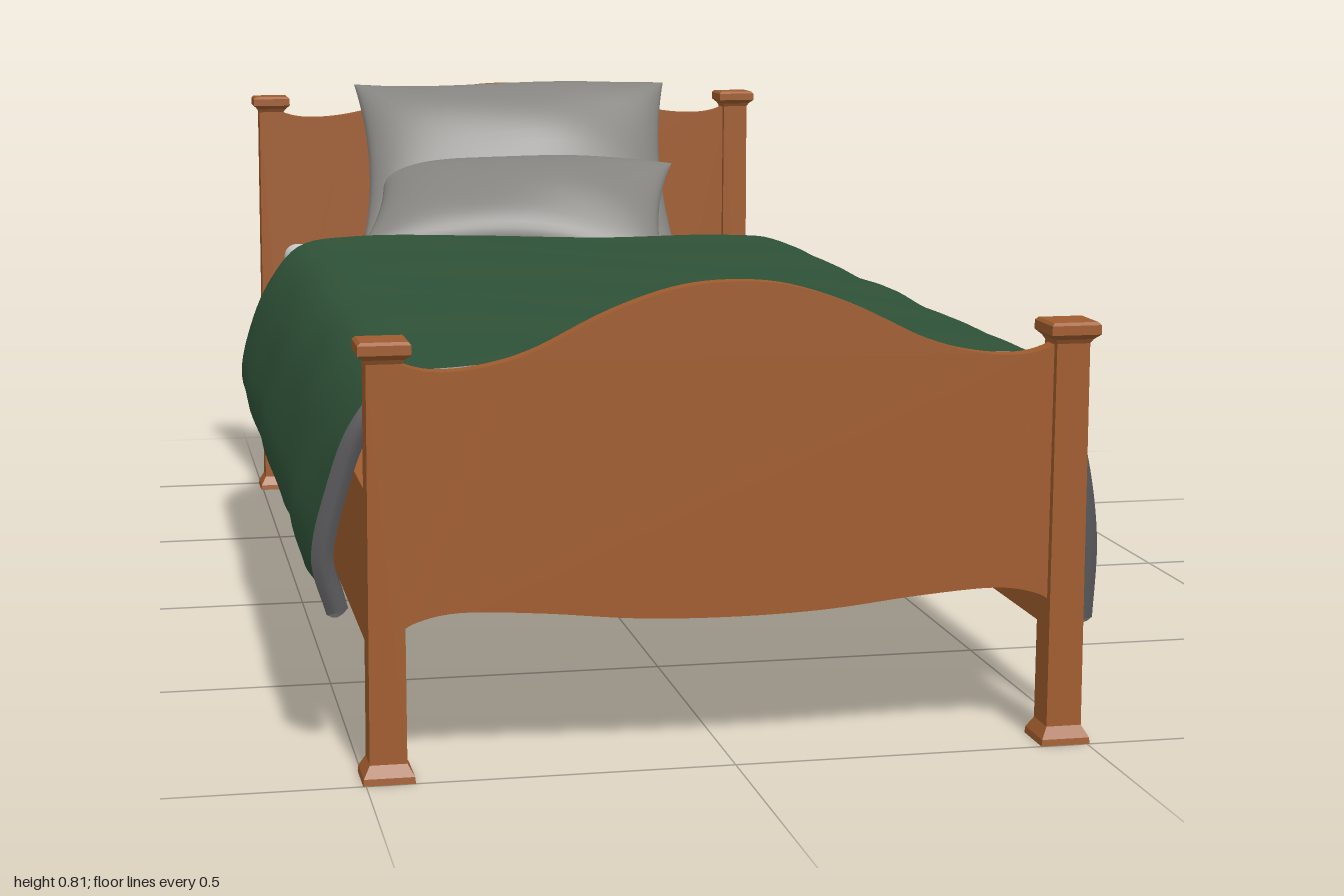
import * as THREE from 'three';
import { toCreasedNormals } from 'three/addons/utils/BufferGeometryUtils.js';
import { RoundedBoxGeometry } from 'three/addons/geometries/RoundedBoxGeometry.js';

function material(name, color, side = THREE.FrontSide) {
  const m = new THREE.MeshStandardMaterial({ color, side });
  m.name = name;
  return m;
}

// Smooth grid surface from fn(u, v) -> [x, y, z], with u and v in 0..1
function surface(fn, nu, nv) {
  const pos = [], idx = [];
  for (let j = 0; j <= nv; j++)
    for (let i = 0; i <= nu; i++) pos.push(...fn(i / nu, j / nv));
  for (let j = 0; j < nv; j++)
    for (let i = 0; i < nu; i++) {
      const a = j * (nu + 1) + i, b = a + 1, c = a + nu + 1, d = c + 1;
      idx.push(a, b, d, a, d, c);
    }
  const g = new THREE.BufferGeometry();
  g.setAttribute('position', new THREE.Float32BufferAttribute(pos, 3));
  g.setIndex(idx);
  g.computeVertexNormals();
  return g;
}

export function createModel() {
  const bed = new THREE.Group();
  bed.name = 'bed';
  const wood = material('wood', 0xa05c2e);
  const slatWood = material('slatWood', 0xb58d5c);
  const sheet = material('mattressWhite', 0xcfcfcf);
  const pillowGrey = material('pillowGrey', 0x84827e, THREE.DoubleSide);
  const green = material('blanketGreen', 0x2f5238, THREE.DoubleSide);
  const lining = material('blanketLining', 0x58585a, THREE.DoubleSide);

  const add = (name, geo, mat, x = 0, y = 0, z = 0, parent = bed) => {
    const m = new THREE.Mesh(geo, mat);
    m.name = name;
    m.position.set(x, y, z);
    parent.add(m);
    return m;
  };

  // Square posts with flared foot and cap
  function post(h) {
    const profile = [
      [0, 0], [0.035, 0], [0.034, 0.009], [0.025, 0.025], [0.0235, h - 0.03],
      [0.027, h - 0.024], [0.035, h - 0.017], [0.035, h - 0.004], [0.031, h], [0, h]
    ].map(([r, y]) => new THREE.Vector2(r * Math.SQRT2, y));
    const g = new THREE.LatheGeometry(profile, 4, Math.PI / 4).toNonIndexed();
    g.computeVertexNormals();
    return g;
  }

  // Curved end boards, from half profiles mirrored across x = 0
  function board(top) {
    const bottom = [[0, 0.2], [0.13, 0.204], [0.26, 0.217], [0.37, 0.223], [0.43, 0.212], [0.455, 0.195]];
    const v = ([x, y], s) => new THREE.Vector2(x * s, y);
    const under = [...bottom.slice(1).reverse().map(p => v(p, -1)), ...bottom.map(p => v(p, 1))];
    const over = [...top.slice(1).reverse().map(p => v(p, 1)), ...top.map(p => v(p, -1))];
    const shape = new THREE.Shape();
    shape.moveTo(under[0].x, under[0].y);
    shape.splineThru(under.slice(1));
    shape.lineTo(over[0].x, over[0].y);
    shape.splineThru(over.slice(1));
    const g = new THREE.ExtrudeGeometry(shape, { depth: 0.026, bevelEnabled: false, curveSegments: 5 });
    return toCreasedNormals(g, 0.6);
  }
  const ends = [
    { name: 'foot', z: 0.965, h: 0.59,
      top: [[0, 0.655], [0.08, 0.647], [0.17, 0.617], [0.27, 0.569], [0.34, 0.55], [0.4, 0.546], [0.44, 0.555], [0.458, 0.568]] },
    { name: 'head', z: -0.965, h: 0.785,
      top: [[0, 0.806], [0.08, 0.801], [0.17, 0.785], [0.27, 0.758], [0.34, 0.745], [0.4, 0.743], [0.44, 0.751], [0.458, 0.764]] }
  ];
  for (const e of ends) {
    for (const s of [-1, 1]) add(e.name + 'Post', post(e.h), wood, s * 0.469, 0, e.z);
    add(e.name + 'Board', board(e.top), wood, 0, 0, e.z - 0.013);
  }

  // Side rails, slat bearers and slats
  for (const s of [-1, 1]) {
    add('sideRail', new THREE.BoxGeometry(0.03, 0.212, 1.9), wood, s * 0.469, 0.264, 0);
    add('slatBearer', new THREE.BoxGeometry(0.022, 0.02, 1.86), slatWood, s * 0.33, 0.303, 0);
  }
  for (let i = 0; i < 14; i++)
    add('slat', new THREE.BoxGeometry(0.88, 0.018, 0.055), slatWood, 0, 0.322, -0.87 + i * 1.74 / 13);

  add('mattress', new RoundedBoxGeometry(0.9, 0.164, 1.896, 4, 0.025), sheet, 0, 0.413, -0.003);

  // Blanket: swept between a foot-end and a head-end cross-section
  const curve = pts => new THREE.CatmullRomCurve3(pts.map(p => new THREE.Vector3(...p)));
  const footEdge = curve([
    [-0.54, 0.21, 0.905], [-0.562, 0.29, 0.91], [-0.54, 0.39, 0.915], [-0.503, 0.475, 0.92], [-0.45, 0.53, 0.92],
    [-0.35, 0.543, 0.918], [-0.12, 0.545, 0.918], [0.12, 0.545, 0.916], [0.35, 0.543, 0.912], [0.45, 0.53, 0.908],
    [0.5, 0.475, 0.908], [0.525, 0.39, 0.915], [0.54, 0.28, 0.912], [0.538, 0.155, 0.905]]);
  const headEdge = curve([
    [-0.53, 0.215, -0.53], [-0.56, 0.29, -0.545], [-0.54, 0.39, -0.555], [-0.503, 0.475, -0.56], [-0.45, 0.53, -0.575],
    [-0.35, 0.545, -0.578], [-0.12, 0.547, -0.56], [0.12, 0.545, -0.505], [0.35, 0.543, -0.51], [0.45, 0.53, -0.52],
    [0.5, 0.475, -0.53], [0.53, 0.39, -0.545], [0.55, 0.28, -0.565], [0.562, 0.13, -0.59]]);
  const blend = (u, v) => {
    const a = footEdge.getPoint(u), b = headEdge.getPoint(u);
    const flare = v * v * v * v;
    return [a.x + (b.x - a.x) * flare, a.y + (b.y - a.y) * flare, a.z + (b.z - a.z) * v];
  };
  const cloth = (u, v, depth) => {
    const p = blend(u, v);
    const q = blend(Math.max(0, u - 0.004), v), r = blend(Math.min(1, u + 0.004), v);
    const tx = r[0] - q[0], ty = r[1] - q[1], l = Math.hypot(tx, ty);
    const ripple = 0.003 * Math.sin(v * 23 + u * 9) * Math.sin(u * 17 + v * 5);
    const d = depth + ripple;
    const hem = Math.abs(2 * u - 1) ** 12 * 0.006 * Math.sin(v * 19);
    return [p[0] + ty / l * d, p[1] - tx / l * d + hem, p[2]];
  };
  const thick = 0.03;
  const blanket = new THREE.Group();
  blanket.name = 'blanket';
  bed.add(blanket);
  add('blanketTop', surface((u, v) => cloth(u, v, 0), 72, 48), green, 0, 0, 0, blanket);
  add('blanketUnderside', surface((u, v) => cloth(u, v, thick), 72, 48), lining, 0, 0, 0, blanket);
  // Slightly bulged rim closing the four edges
  for (const e of [0, 1]) {
    const out = e ? -1 : 1;
    add('blanketEndRim', surface((s, w) => {
      const p = cloth(s, e, w * thick);
      p[2] += out * 0.008 * Math.sin(Math.PI * w);
      return p;
    }, 72, 4), lining, 0, 0, 0, blanket);
    add('blanketHemRim', surface((s, w) => {
      const p = cloth(e, s, w * thick);
      p[1] -= 0.008 * Math.sin(Math.PI * w);
      return p;
    }, 48, 4), lining, 0, 0, 0, blanket);
  }

  // Pillows: two bulged faces meeting at a pinched seam
  function pillow(name, w, h, t, pos, rot) {
    const g = new THREE.Group();
    g.name = name;
    for (const s of [-1, 1])
      add(name + (s > 0 ? 'Front' : 'Back'), surface((a, b) => {
        const u = Math.sin((a - 0.5) * Math.PI), v = Math.sin((b - 0.5) * Math.PI);
        const bulge = Math.pow(Math.max(0, (1 - u * u) * (1 - v * v)), 0.45);
        const crease = 1 + 0.07 * Math.sin(4 * u + 2 * v) * Math.cos(3 * v - u);
        return [
          w * u * (1 - 0.07 * (1 - v * v)),
          h * v * (1 - 0.1 * (1 - u * u)) + 0.008 * Math.sin(3 * u + 1),
          s * t * bulge * crease + 0.012 * u * v
        ];
      }, 32, 24), pillowGrey, 0, 0, 0, g);
    g.position.set(...pos);
    g.rotation.set(...rot, 'YXZ');
    bed.add(g);
  }
  pillow('backPillow', 0.31, 0.19, 0.078, [0, 0.655, -0.84], [-0.6, 0, -0.03]);
  pillow('frontPillow', 0.285, 0.155, 0.066, [-0.02, 0.585, -0.665], [-1.05, -0.18, -0.06]);

  return bed;
}
